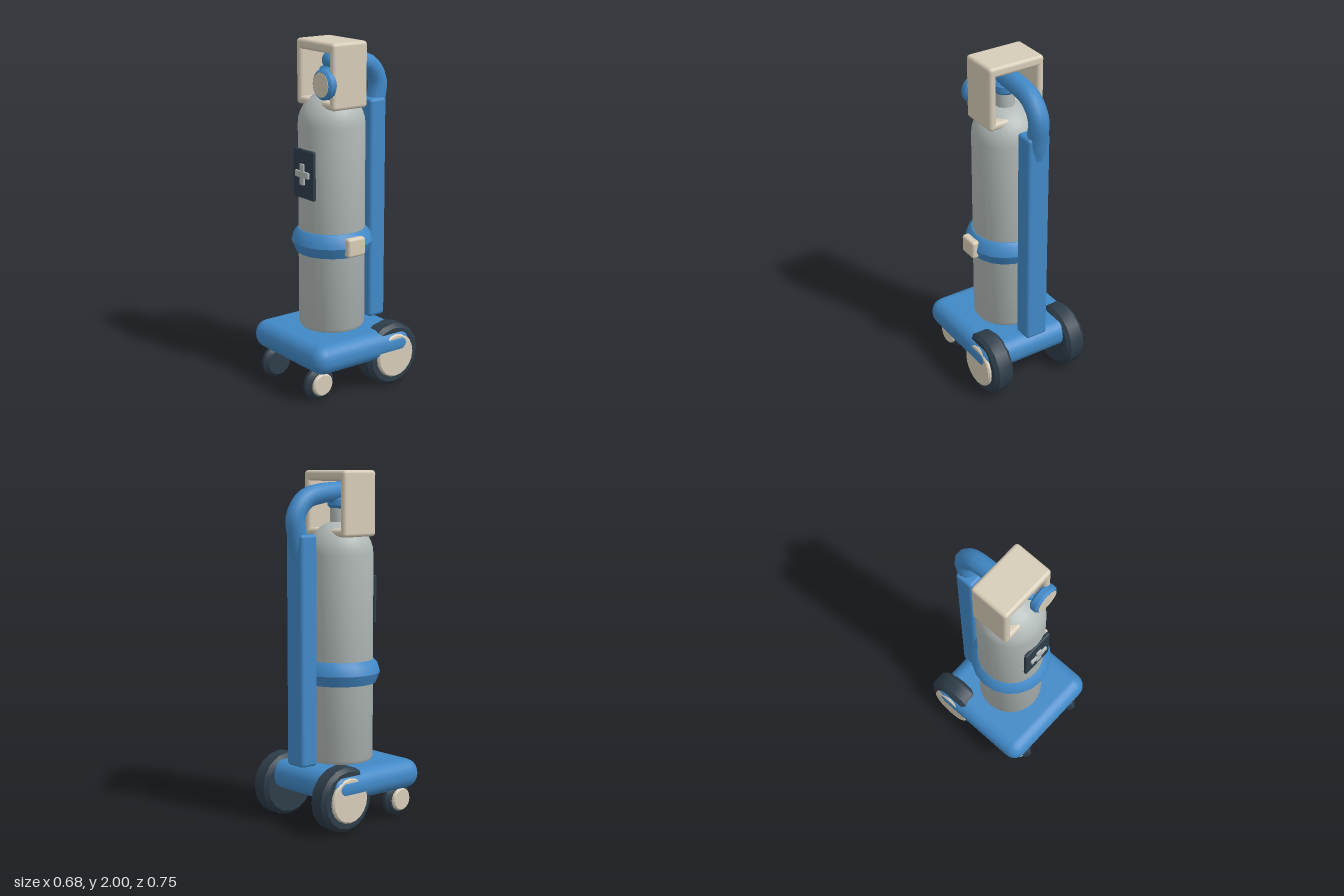
import * as THREE from 'three';
import { toCreasedNormals } from 'three/addons/utils/BufferGeometryUtils.js';
import { RoundedBoxGeometry } from 'three/addons/geometries/RoundedBoxGeometry.js';

const paint = (name, color) => {
  const m = new THREE.MeshStandardMaterial({ color });
  m.name = name;
  return m;
};

export function createModel() {
  const blue = paint('blue', 0x4189c7);
  const cream = paint('cream', 0xd6ccb8);
  const grey = paint('grey', 0xb2bab8);
  const dark = paint('dark slate', 0x2e3d49);

  const model = new THREE.Group();
  model.name = 'gasCylinderTrolley';

  const add = (name, geometry, material, x = 0, y = 0, z = 0) => {
    const mesh = new THREE.Mesh(geometry, material);
    mesh.name = name;
    mesh.position.set(x, y, z);
    model.add(mesh);
    return mesh;
  };
  const box = (w, h, d, r, seg = 2) => new RoundedBoxGeometry(w, h, d, seg, r);
  const lathe = (points, sides) => toCreasedNormals(
    new THREE.LatheGeometry(points.map(([r, y]) => new THREE.Vector2(r, y)), sides), 0.6);
  // Solid disc with chamfered rims, centred on its own axis
  const disc = (r, h, c, sides) =>
    lathe([[0, -h / 2], [r - c, -h / 2], [r, -h / 2 + c], [r, h / 2 - c], [r - c, h / 2], [0, h / 2]], sides);

  // Trolley base and rear post
  add('base', box(0.68, 0.17, 0.68, 0.08, 3), blue, 0, 0.26, 0.03);
  add('rearPost', box(0.14, 1.305, 0.115, 0.02), blue, 0, 0.998, -0.257);

  // Wheels with hub caps on the outer faces
  const wheel = (name, side, x, r, width, hubR, z) => {
    const tyre = add(name + 'Tyre', disc(r, width, 0.022, 16), dark, side * x, r + 0.005, z);
    const hub = add(name + 'Hub', disc(hubR, 0.04, 0.008, 20), cream, side * (x + width / 2), r + 0.005, z);
    tyre.rotation.z = hub.rotation.z = -side * Math.PI / 2;
  };
  for (const side of [1, -1]) {
    const label = side > 0 ? 'left' : 'right';
    wheel(label + 'RearWheel', side, 0.252, 0.185, 0.125, 0.128, -0.188);
    wheel(label + 'FrontCaster', side, 0.209, 0.097, 0.065, 0.066, 0.28);
  }

  // Cylinder body with domed shoulder
  const TZ = 0.025;
  const profile = [[0, 0.345], [0.178, 0.345], [0.19, 0.365], [0.19, 1.53]];
  for (let i = 1; i <= 8; i++) {
    const a = (i / 8) * Math.PI / 2;
    profile.push([Math.max(0, 0.19 * Math.cos(a)), 1.53 + 0.19 * Math.sin(a)]);
  }
  add('tank', lathe(profile, 28), grey, -0.003, 0, TZ);
  add('neck', disc(0.055, 0.12, 0.01, 16), grey, 0, 1.74, TZ);

  // Valve
  add('valveCollar', disc(0.07, 0.065, 0.015, 16), blue, 0, 1.82, TZ);
  add('valveCap', new THREE.SphereGeometry(0.056, 16, 10), blue, 0, 1.884, TZ);

  // Curved handle from the valve down into the post
  const path = new THREE.CatmullRomCurve3(
    [[1.88, TZ], [1.872, -0.11], [1.84, -0.23], [1.75, -0.298], [1.62, -0.285], [1.49, -0.255]]
      .map(([y, z]) => new THREE.Vector3(0, y, z)));
  add('handle', new THREE.TubeGeometry(path, 20, 0.057, 10), blue);

  // Guard frame around the valve
  add('guardTop', box(0.348, 0.06, 0.24, 0.02), cream, -0.002, 1.97, 0.025);
  add('guardBottom', box(0.34, 0.045, 0.24, 0.02), cream, -0.002, 1.654, 0.025);
  for (const side of [1, -1]) {
    add(side > 0 ? 'guardLeft' : 'guardRight', box(0.045, 0.37, 0.24, 0.02), cream,
      -0.002 + side * 0.1515, 1.815, 0.025);
  }

  // Pressure gauge on a short stem
  const gauge = add('gaugeCase', disc(0.085, 0.055, 0.012, 20), blue, 0.104, 1.773, 0.152);
  const face = add('gaugeFace', disc(0.069, 0.008, 0.001, 20), cream, 0.104, 1.773, 0.178);
  gauge.rotation.x = face.rotation.x = Math.PI / 2;
  const stemFrom = new THREE.Vector3(0, 1.815, TZ);
  const stemTo = new THREE.Vector3(0.09, 1.78, 0.14);
  add('gaugeStem', new THREE.TubeGeometry(new THREE.LineCurve3(stemFrom, stemTo), 1, 0.02, 8), blue);

  // Strap and buckle
  add('strap', lathe([[0.18, 0.79], [0.208, 0.795], [0.233, 0.855], [0.218, 0.905], [0.195, 0.93], [0.18, 0.93]], 20),
    blue, 0, 0, TZ);
  add('buckle', box(0.048, 0.108, 0.12, 0.015), cream, 0.226, 0.862, 0.035);

  // Label plate with a cross
  add('label', box(0.19, 0.28, 0.022, 0.008), dark, -0.002, 1.263, 0.214);
  add('crossBar', box(0.122, 0.038, 0.014, 0.004), grey, -0.002, 1.263, 0.231);
  add('crossPost', box(0.038, 0.122, 0.012, 0.004), grey, -0.002, 1.263, 0.231);

  return model;
}
